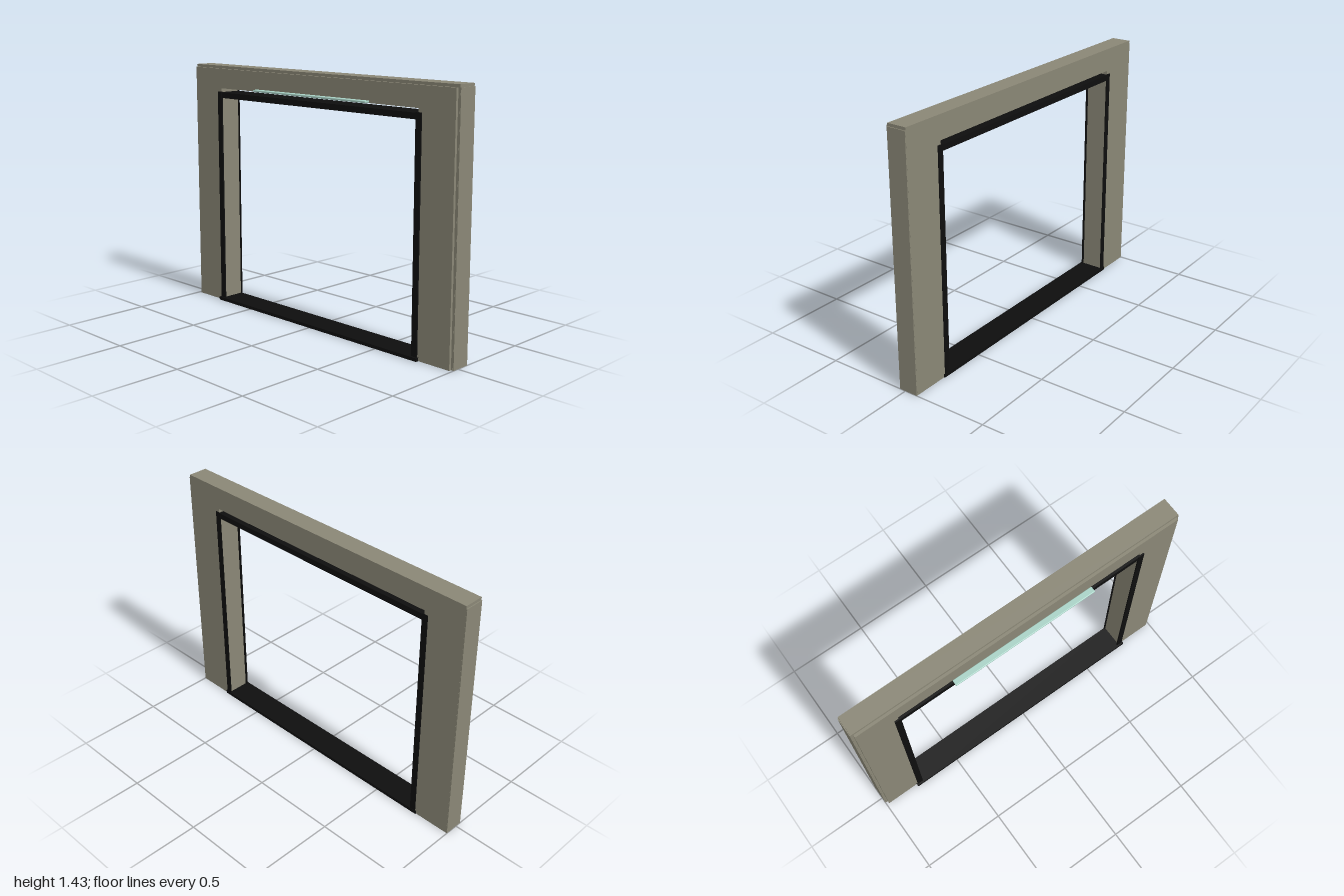
import * as THREE from 'three';
import { RoundedBoxGeometry } from 'three/addons/geometries/RoundedBoxGeometry.js';

const mat = (name, color) => {
  const m = new THREE.MeshStandardMaterial({ color });
  m.name = name;
  return m;
};

export function createModel() {
  const model = new THREE.Group();
  model.name = 'doorSurround';
  const stone = mat('greyStone', 0x8a8776);
  const black = mat('blackTrim', 0x0e0e0e);
  const glass = mat('paleGreen', 0xa9d2c6);

  const add = (name, geometry, material) => {
    const mesh = new THREE.Mesh(geometry, material);
    mesh.name = name;
    model.add(mesh);
    return mesh;
  };

  // Box given by its limits on each axis
  const box = (name, material, [x0, x1], [y0, y1], [z0, z1]) => {
    const g = new THREE.BoxGeometry(x1 - x0, y1 - y0, z1 - z0);
    g.translate((x0 + x1) / 2, (y0 + y1) / 2, (z0 + z1) / 2);
    return add(name, g, material);
  };

  // Upside-down U outline extruded from z0 to z1
  const portal = (name, halfWidth, height, z0, z1) => {
    const inX = 0.753, inY = 1.303;
    const shape = new THREE.Shape([
      [-halfWidth, 0], [-inX, 0], [-inX, inY], [inX, inY],
      [inX, 0], [halfWidth, 0], [halfWidth, height], [-halfWidth, height],
    ].map(([x, y]) => new THREE.Vector2(x, y)));
    const g = new THREE.ExtrudeGeometry(shape, { depth: z1 - z0, bevelEnabled: false });
    g.translate(0, 0, z0);
    return add(name, g, stone);
  };

  // Stone body with a slightly smaller facing panel
  portal('surroundBody', 0.995, 1.434, -0.077, 0.036);
  portal('facingPanel', 0.984, 1.418, 0.036, 0.051);

  // Side cladding and the trim on both faces of each jamb
  for (const s of [-1, 1]) {
    const span = (a, b) => (s > 0 ? [a, b] : [-b, -a]);
    const side = s > 0 ? 'left' : 'right';
    box(side + 'Cladding', stone, span(0.994, 1), [0, 1.418], [-0.0765, 0.0355]);
    box(side + 'FrontTrim', black, span(0.742, 0.777), [0, 1.283], [0.051, 0.059]);
    box(side + 'BackTrim', black, span(0.742, 0.777), [0, 1.283], [-0.081, -0.077]);
  }

  // Full-depth head rail, leaving a slit beneath the stone
  box('headRail', black, [-0.753, 0.753], [1.247, 1.28], [-0.08, 0.058]);

  // Floor threshold
  box('threshold', black, [-0.784, 0.784], [0, 0.019], [-0.083, 0.069]);

  // Slim glass bar above the opening
  const bar = new RoundedBoxGeometry(0.862, 0.012, 0.034, 2, 0.004);
  bar.translate(0, 1.311, 0.071);
  add('glassBar', bar, glass);

  return model;
}
